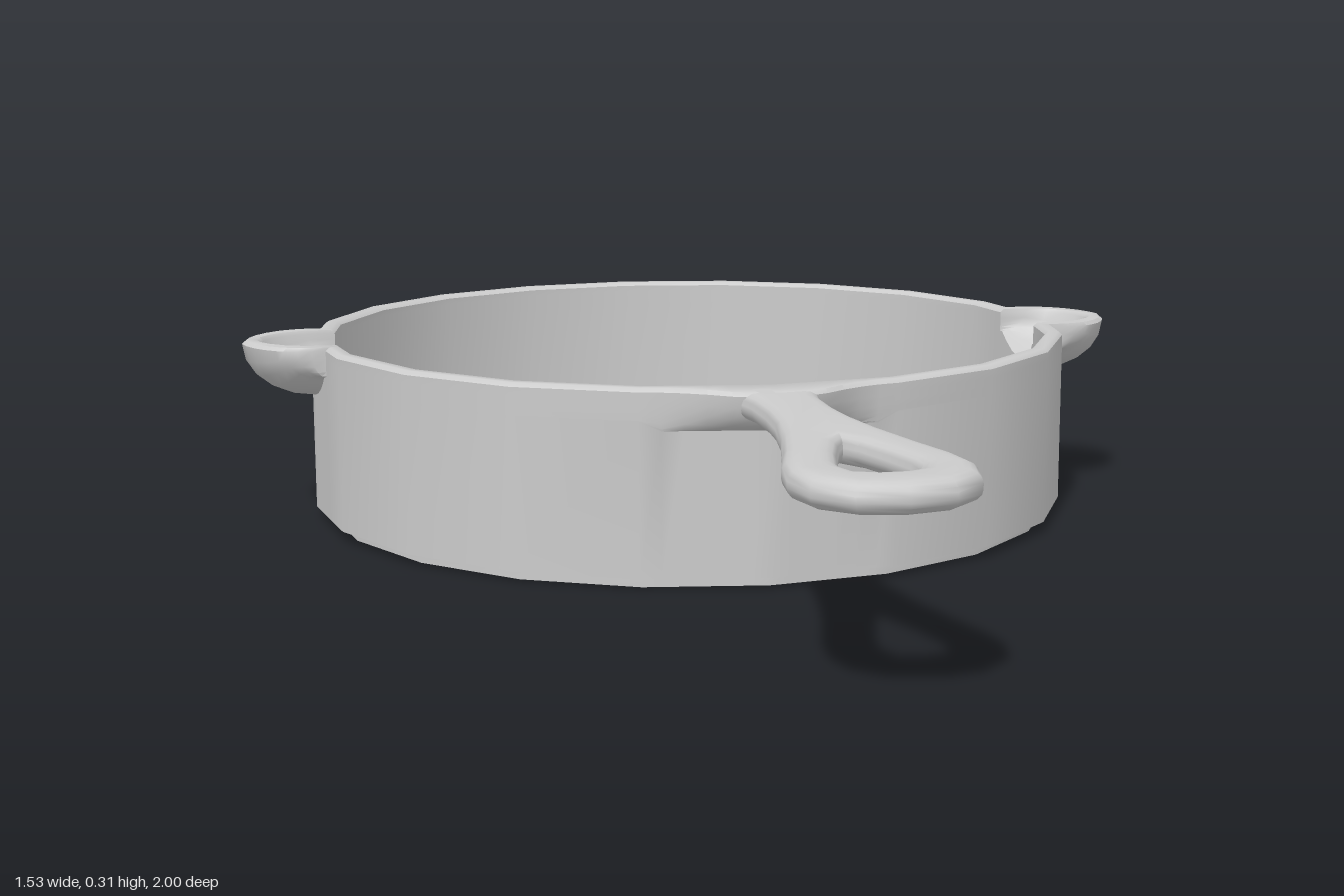
import * as THREE from 'three';
import { toCreasedNormals } from 'three/addons/utils/BufferGeometryUtils.js';

const RAD = Math.PI / 180;
const TOP = 0.31, OUTER = 0.65, INNER = 0.62, FOOT = 0.625, FLOOR = 0.04;
const SPOUT = 10.2; // half angle of a pouring spout, in degrees
const CENTRE_Z = -0.35;

// Bulge of an ellipse: 1 in the middle, 0 at the edge
const dome = u => Math.sqrt(Math.max(0, 1 - u * u));

// Columns: the 20 polygon corners plus finer ones at the spouts and the handle root
function columnAngles() {
  const set = new Set();
  for (let i = 0; i < 20; i++) set.add(i * 18);
  for (const u of [0.2, 0.4, 0.6, 0.75, 0.82, 0.92, 0.98, 1])
    for (const c of [90, 270]) { set.add(c + u * SPOUT); set.add(c - u * SPOUT); }
  for (let a = 3; a < 18; a += 3) { set.add(a); set.add(360 - a); }
  return [...set].sort((a, b) => a - b);
}

// Cross-section of the pan at one angle, from underside centre over the rim to floor centre
function section(deg) {
  const k = Math.cos(9 * RAD) / Math.cos(((deg % 18) - 9) * RAD); // 20-sided radius
  const off = Math.min(Math.abs(deg - 90), Math.abs(deg - 270)) / SPOUT;
  const front = Math.min(deg, 360 - deg) / 18;

  let out = 0.115 * dome(off), outDepth = Math.max(0.05, 0.095 * dome(off));
  if (front < 1) { // fillet towards the handle
    out = Math.min(0.055, 0.1 * (1 - front) ** 2);
    outDepth = 0.065;
  }
  const inn = 0.115 * dome(off / 0.82), innDepth = Math.max(0.04, 0.08 * dome(off / 0.82));

  const pts = [[0, 0], [FOOT * k, 0], [FOOT * k, 0.018], [OUTER * k, 0.018]];
  for (let i = 0; i <= 5; i++) {
    const a = i * 18 * RAD;
    pts.push([OUTER * k + out * Math.sin(a), TOP - 0.006 - (outDepth - 0.006) * Math.cos(a)]);
  }
  pts.push([OUTER * k + out - 0.007, TOP], [INNER * k + inn + 0.007, TOP]);
  for (let i = 5; i >= 0; i--) {
    const a = i * 18 * RAD;
    pts.push([INNER * k + inn * Math.sin(a), TOP - 0.006 - (innDepth - 0.006) * Math.cos(a)]);
  }
  pts.push([INNER * k, FLOOR], [0, FLOOR]);
  return pts;
}

// Skin the sections between two profile indices
function skin(from, to) {
  const angles = columnAngles();
  const rings = angles.map(deg => section(deg).slice(from, to + 1).map(([r, y]) =>
    [r * Math.sin(deg * RAD), y, r * Math.cos(deg * RAD) + CENTRE_Z]));
  const pos = [];
  rings.forEach((ring, i) => {
    const next = rings[(i + 1) % rings.length];
    for (let j = 0; j < ring.length - 1; j++) {
      const a = ring[j], b = next[j], c = ring[j + 1], d = next[j + 1];
      const atStart = from + j === 0, atEnd = d[0] === c[0] && d[2] === c[2];
      if (!atStart) pos.push(...a, ...b, ...d);
      if (!atEnd) pos.push(...a, ...d, ...c);
      if (atStart && atEnd) pos.push(...a, ...b, ...d);
    }
  });
  const geo = new THREE.BufferGeometry();
  geo.setAttribute('position', new THREE.Float32BufferAttribute(pos, 3));
  return toCreasedNormals(geo, 0.75);
}

// Rounded handle with a teardrop hanging hole
function handleGeometry() {
  const half = [[0.062, 0.285], [0.06, 0.335], [0.053, 0.375], [0.052, 0.46], [0.058, 0.54],
    [0.072, 0.63], [0.097, 0.74], [0.118, 0.82], [0.125, 0.88], [0.111, 0.94], [0.065, 0.985]];
  const hole = [[0.012, 0.71], [0.032, 0.775], [0.047, 0.84], [0.048, 0.87], [0.038, 0.9], [0.015, 0.91]];
  const mirror = pts => pts.slice().reverse().map(([x, z]) => [-x, z]);
  const vec = pts => pts.map(([x, z]) => new THREE.Vector2(x, z));

  const shape = new THREE.Shape(vec([...half, [0, 1], ...mirror(half)]));
  shape.holes.push(new THREE.Path(vec([[0, 0.685], ...hole, ...mirror(hole)])));
  const geo = new THREE.ExtrudeGeometry(shape, {
    depth: 0.008, bevelThickness: 0.018, bevelSize: 0.024, bevelOffset: -0.024, bevelSegments: 4,
  });
  geo.rotateX(Math.PI / 2);
  geo.translate(0, TOP - 0.018, 0);
  return toCreasedNormals(geo, 0.75);
}

export function createModel() {
  const group = new THREE.Group();
  group.name = 'fryingPan';
  const material = new THREE.MeshStandardMaterial({ color: 0xcccccc });
  const add = (name, geo) => {
    const mesh = new THREE.Mesh(geo, material);
    mesh.name = name;
    group.add(mesh);
  };

  add('base', skin(0, 3));
  add('wallWithSpouts', skin(3, 18));
  add('cookingFloor', skin(18, 19));
  add('handle', handleGeometry());
  return group;
}
